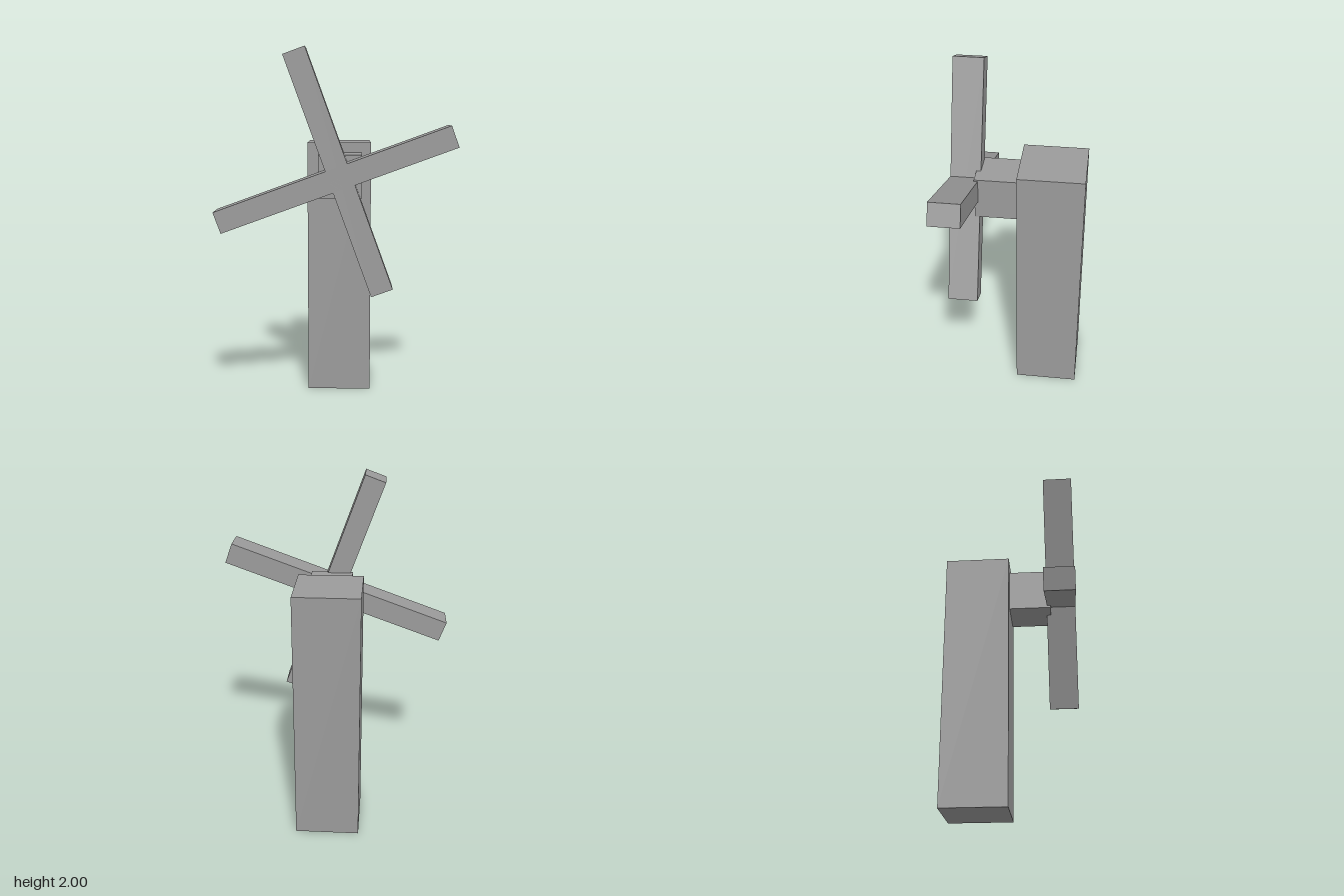
import * as THREE from 'three';

const material = new THREE.MeshStandardMaterial({ color: 0x9b9b9b, flatShading: true });

function box(name, size, position, tilt = 0) {
  const mesh = new THREE.Mesh(new THREE.BoxGeometry(...size), material);
  mesh.name = name;
  mesh.position.set(...position);
  mesh.rotation.z = THREE.MathUtils.degToRad(tilt);
  return mesh;
}

export function createModel() {
  const group = new THREE.Group();
  group.name = 'windmill';

  // Square tower with the axle block on its front
  group.add(box('tower', [0.369, 1.482, 0.369], [0.0185, 0.741, -0.1925]));
  group.add(box('axle', [0.242, 0.241, 0.24], [0.026, 1.304, 0.112]));

  // Two crossed beams form the four sails
  const sails = new THREE.Group();
  sails.name = 'sails';
  sails.add(box('wideSail', [1.36, 0.123, 0.166], [0, 1.297, 0.294], 20));
  sails.add(box('tallSail', [0.125, 1.383, 0.17], [0.019, 1.33, 0.292], 20));
  group.add(sails);

  return group;
}
